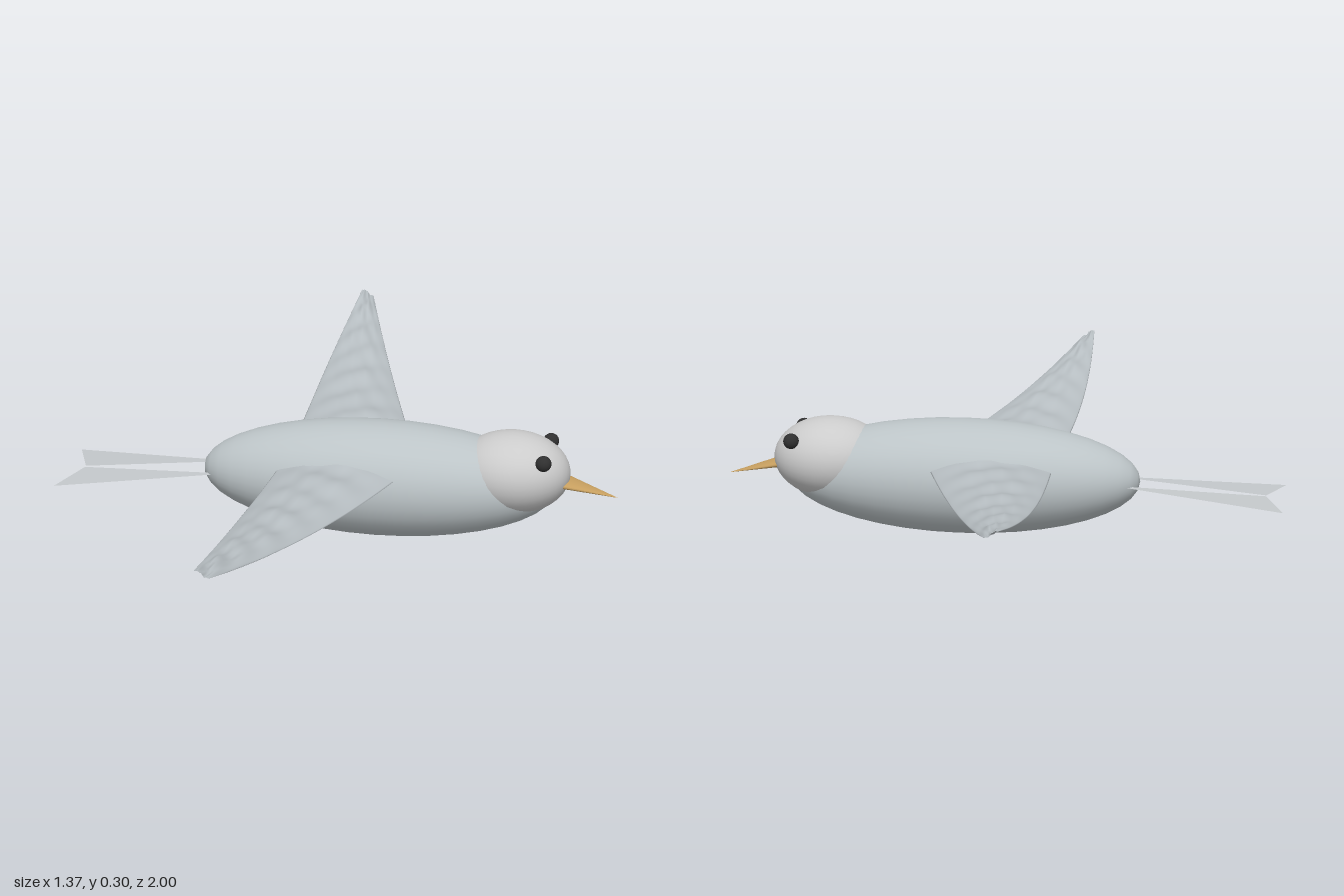
import * as THREE from 'three';
import { ParametricGeometry } from 'three/addons/geometries/ParametricGeometry.js';

const mat = (color, extra = {}) => new THREE.MeshStandardMaterial({ color, ...extra });

function part(name, geometry, material) {
  const mesh = new THREE.Mesh(geometry, material);
  mesh.name = name;
  return mesh;
}

// Ellipsoid with its poles along x
function ellipsoid(name, [x, y, z], [rx, ry, rz], material) {
  const geo = new THREE.SphereGeometry(1, 32, 20).rotateZ(-Math.PI / 2).scale(rx, ry, rz);
  const mesh = part(name, geo, material);
  mesh.position.set(x, y, z);
  return mesh;
}

// Thin cambered wing, swept from the body out to a narrow upturned tip
function wingGeometry(side) {
  const lerp = THREE.MathUtils.lerp;
  return new ParametricGeometry((u, v, target) => {
    const a = u * Math.PI * 2 * side; // runs the other way round on the mirrored wing
    const c = (1 - Math.cos(a)) / 2; // 0 at the leading edge, 1 at the trailing edge
    const z = lerp(0.1, 1, v);
    const t = Math.max(0, (z - 0.14) / 0.86);
    const lead = lerp(0.17, -0.09, v);
    const trail = -0.13 - 0.01 * Math.sin(Math.PI * v) + 0.008 * v ** 4;
    const chord = lead - trail;
    const camber = 0.075 * chord * Math.sin(Math.PI * c);
    const thickness = 0.007 * (1 - 0.9 * v ** 12) * Math.sin(a);
    // Soft feather ripples
    const ripple = 0.0035 * Math.sin(c * Math.PI) *
      (Math.sin(z * 47 + c * 7) + Math.sin(z * 29 - c * 11 + 1) * Math.cos(c * 9));
    const y = 0.186 + 0.095 * t * t + 0.016 * t * c + camber + thickness + ripple;
    target.set(lead - chord * c, y, z * side);
  }, 32, 60);
}

// Flat tail feather: narrow at the body, with a slanted end
function featherGeometry(side) {
  const geo = new THREE.BufferGeometry();
  geo.setAttribute('position', new THREE.Float32BufferAttribute([
    -0.27, 0.141, 0.044 * side,
    -0.64, 0.117, 0.004 * side,
    -0.685, 0.111, 0.128 * side,
  ], 3));
  geo.setIndex(side > 0 ? [0, 1, 2] : [0, 2, 1]);
  geo.computeVertexNormals();
  return geo;
}

export function createModel() {
  const bird = new THREE.Group();
  bird.name = 'bird';
  const plumage = mat(0xbcc4c7);
  const wingMat = mat(0xb8bfc3, { side: THREE.DoubleSide });
  const tailMat = mat(0xc4c8cb, { side: THREE.DoubleSide });
  const eyeMat = mat(0x303030);

  bird.add(ellipsoid('body', [0.1, 0.143, 0], [0.435, 0.141, 0.15], plumage));
  bird.add(ellipsoid('head', [0.427, 0.18, 0], [0.14, 0.1, 0.115], mat(0xc6c4c2)));

  // Flattened beak, pointing slightly down
  const beakGeo = new THREE.ConeGeometry(0.046, 0.144, 20).scale(0.25, 1, 1);
  const beak = part('beak', beakGeo, mat(0xc8a060));
  beak.position.set(0.614, 0.1475, 0);
  beak.rotation.z = -Math.PI / 2 - 0.25;
  bird.add(beak);

  for (const side of [1, -1]) {
    const label = side > 0 ? 'Near' : 'Far';
    bird.add(ellipsoid('eye' + label, [0.51, 0.235, 0.08 * side], [0.019, 0.019, 0.019], eyeMat));
    bird.add(part('wing' + label, wingGeometry(side), wingMat));
    bird.add(part('tailFeather' + label, featherGeometry(side), tailMat));
  }
  return bird;
}
